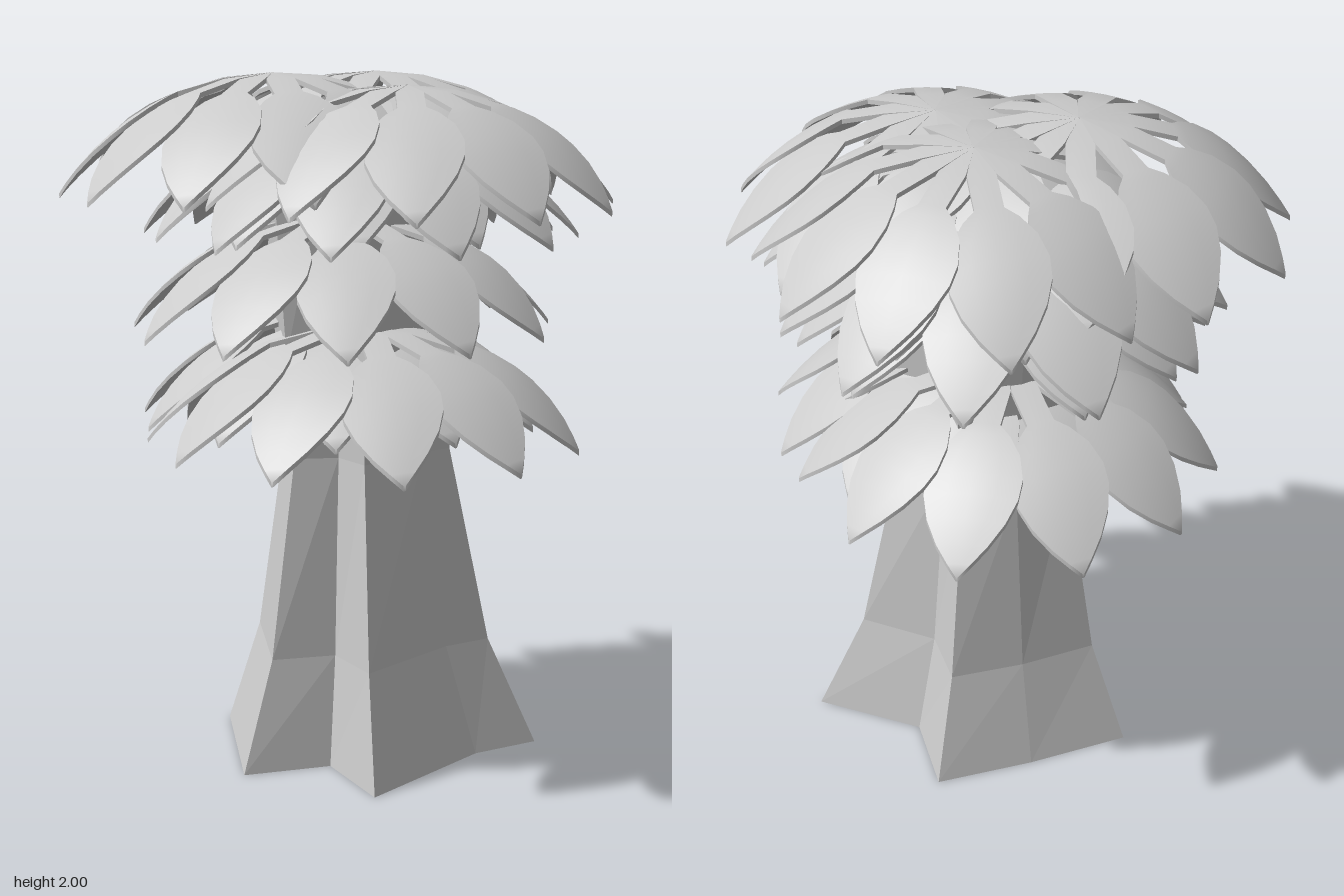
import * as THREE from 'three';
import { toCreasedNormals } from 'three/addons/utils/BufferGeometryUtils.js';

const bark = new THREE.MeshStandardMaterial({ color: 0xcccccc, flatShading: true, side: THREE.DoubleSide });
const foliage = new THREE.MeshStandardMaterial({ color: 0xcccccc, side: THREE.DoubleSide });
const LEAVES = 11;

// Moves every vertex of a geometry by a rule
function remap(geometry, rule) {
  const p = geometry.attributes.position;
  const v = new THREE.Vector3();
  for (let i = 0; i < p.count; i++) {
    rule(v.fromBufferAttribute(p, i));
    p.setXYZ(i, v.x, v.y, v.z);
  }
  geometry.computeVertexNormals();
  return geometry;
}

// Trunk: open shell with a ribbed root outline that narrows, rounds off and widens again
function trunkGeometry() {
  const outline = [
    [0.13, 0.36], [0.335, 0.43], [0.26, 0.1], [0.435, -0.1], [0.2, -0.28],
    [-0.06, -0.45], [-0.45, -0.04], [-0.23, 0.1], [-0.36, 0.37],
  ];
  // height, scale, roundness
  const rows = [[0, 1, 0], [0.32, 0.75, 0.08], [0.9, 0.55, 0.25], [1.2, 0.62, 0.35], [1.82, 0.76, 0.45]];
  const n = outline.length;
  const g = new THREE.CylinderGeometry(1, 1, 1, n, rows.length - 1, true);
  return remap(g, (v) => {
    const [y, scale, round] = rows[Math.round((v.y + 0.5) * (rows.length - 1))];
    const i = Math.round(Math.atan2(v.x, v.z) / (2 * Math.PI) * n + n) % n;
    const [x, z] = outline[i];
    const k = scale * THREE.MathUtils.lerp(1, 0.42 / Math.hypot(x, z), round);
    v.set(x * k, y, z * k);
  });
}

// Leaf: straight stalk from the whorl centre, broad blade and pointed tip, bent over a dome
function leafGeometry() {
  // distance from the whorl centre, half width
  const rows = [
    [0, 0.002], [0.14, 0.04], [0.27, 0.04], [0.3, 0.075], [0.35, 0.115], [0.41, 0.137],
    [0.46, 0.135], [0.515, 0.112], [0.565, 0.073], [0.6, 0.033], [0.622, 0.003],
  ];
  const g = remap(new THREE.BoxGeometry(2, 1, 1, 4, 1, rows.length - 1), (v) => {
    const [r, half] = rows[Math.round((v.z + 0.5) * (rows.length - 1))];
    const x = v.x * half;
    const d = r * r + x * x;
    v.set(x, -0.6 * d - 0.65 * d * d + 0.2 * x * r + v.y * 0.014, r);
  });
  return toCreasedNormals(g, 0.7);
}

export function createModel() {
  const model = new THREE.Group();
  model.name = 'tree';

  const trunk = new THREE.Mesh(trunkGeometry(), bark);
  trunk.name = 'trunk';
  model.add(trunk);

  const leafShape = leafGeometry();

  // Whorls of leaves: name, centre, size, turn
  const whorls = [
    ['crownBackWhorl', -0.15, 1.99, -0.18, 1, 0.46],
    ['crownRightWhorl', 0.165, 1.99, -0.05, 0.98, 0.05],
    ['crownFrontWhorl', -0.02, 1.96, 0.21, 0.98, 0.286],
    ['upperWhorl', 0.13, 1.85, -0.12, 1, 0.3],
    ['upperFrontWhorl', -0.04, 1.86, 0.08, 0.98, 0.1],
    ['middleWhorl', -0.15, 1.6, 0.08, 0.97, 0.286],
    ['lowerFrontWhorl', -0.12, 1.285, 0.14, 1, -0.15],
    ['lowerBackWhorl', 0.07, 1.3, -0.1, 0.98, 0.23],
  ];
  for (const [name, x, y, z, size, turn] of whorls) {
    const whorl = new THREE.Group();
    whorl.name = name;
    for (let i = 0; i < LEAVES; i++) {
      const leaf = new THREE.Mesh(leafShape, foliage);
      leaf.name = 'leaf';
      leaf.rotation.y = turn + (i / LEAVES) * Math.PI * 2;
      whorl.add(leaf);
    }
    // Each whorl leans slightly outward
    whorl.rotation.set(z * 0.1, 0, -x * 0.1);
    whorl.position.set(x, y, z);
    whorl.scale.setScalar(size);
    model.add(whorl);
  }
  return model;
}
